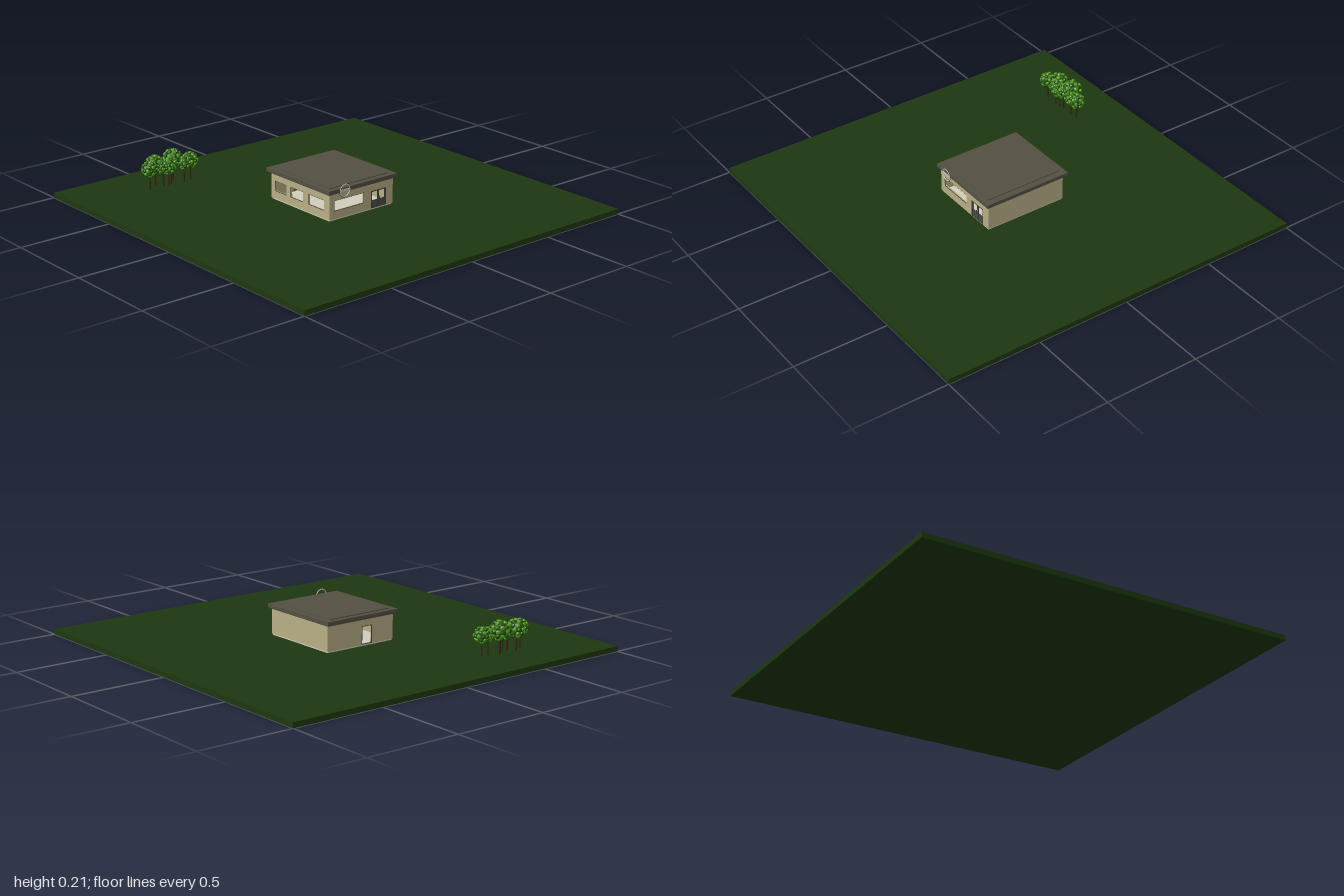
import * as THREE from 'three';
import { mergeGeometries } from 'three/addons/utils/BufferGeometryUtils.js';

const mat = (color, flatShading = false) => new THREE.MeshStandardMaterial({ color, flatShading });
const M = {
  grass: mat(0x1d3810), wall: mat(0xb9af86), roof: mat(0x545043), fascia: mat(0x4a473d),
  floor: mat(0xd2cebf), frame: mat(0x3b3a36), panel: mat(0x4b4d4c), pale: mat(0xc4c0b0),
  bark: mat(0x3a2413), leafDark: mat(0x1f5208, true), leafLight: mat(0x4a9412, true),
};

function add(parent, name, geometry, material, x = 0, y = 0, z = 0) {
  const mesh = new THREE.Mesh(geometry, material);
  mesh.name = name;
  mesh.position.set(x, y, z);
  parent.add(mesh);
  return mesh;
}

// box given by its min and max corners
function block(parent, name, material, x0, x1, y0, y1, z0, z1) {
  return add(parent, name, new THREE.BoxGeometry(x1 - x0, y1 - y0, z1 - z0), material,
    (x0 + x1) / 2, (y0 + y1) / 2, (z0 + z1) / 2);
}

const T = 0.012, BASE = 0.034, TOP = 0.167;

// wall panel with rectangular openings [u0, u1, v0, v1]
function wall(parent, name, u0, u1, openings) {
  const rect = (P, [a, b, c, d]) =>
    new P([[a, c], [b, c], [b, d], [a, d]].map(p => new THREE.Vector2(...p)));
  const shape = rect(THREE.Shape, [u0, u1, BASE, TOP]);
  openings.forEach(o => shape.holes.push(rect(THREE.Path, o)));
  const geometry = new THREE.ExtrudeGeometry(shape, { depth: T, bevelEnabled: false });
  const group = new THREE.Group();
  group.name = name;
  add(group, name + 'Panel', geometry, M.wall);
  parent.add(group);
  return group;
}

// thin frame around an opening, centred on depth z
function frame(parent, name, [a, b, c, d], z, w = 0.003) {
  const h = w * 0.8;
  block(parent, name + 'Bottom', M.frame, a, b, c, c + w, z - h, z + h);
  block(parent, name + 'Top', M.frame, a, b, d - w, d, z - h, z + h);
  block(parent, name + 'Side', M.frame, a, a + w, c, d, z - h, z + h);
  block(parent, name + 'Side', M.frame, b - w, b, c, d, z - h, z + h);
}

function buildHouse() {
  const house = new THREE.Group();
  house.name = 'house';
  block(house, 'floorSlab', M.floor, -0.207, 0.197, 0.025, 0.035, -0.222, 0.222);

  // front wall: long window and double door
  const win = [-0.18, 0.012, 0.073, 0.128], door = [0.058, 0.155, BASE + 0.001, 0.124];
  const front = wall(house, 'frontWall', -0.21, 0.2, [win, door]);
  front.position.z = 0.225 - T;
  frame(front, 'frontWindowFrame', win, T - 0.002, 0.002);
  frame(front, 'frontDoorFrame', door, T - 0.002, 0.004);
  const mid = (door[0] + door[1]) / 2;
  for (const s of [-1, 1]) {
    const a = Math.min(mid + s * 0.001, mid + s * 0.045), b = Math.max(mid + s * 0.001, mid + s * 0.045);
    block(front, 'doorPanel', M.panel, a, b, 0.036, 0.074, T - 0.006, T - 0.002);
    frame(front, 'doorLeaf', [a, b, 0.036, 0.121], T - 0.004, 0.003);
    block(front, 'doorHandle', M.frame, mid + s * 0.007 - 0.0015, mid + s * 0.007 + 0.0015,
      0.072, 0.088, T - 0.002, T + 0.003);
  }

  // back wall: open doorway
  const backDoor = [-0.076, -0.012, BASE + 0.001, 0.128];
  const back = wall(house, 'backWall', -0.21, 0.2, [backDoor]);
  back.position.z = -0.225;
  frame(back, 'backDoorFrame', backDoor, 0.002, 0.003);

  // side walls: three windows on one, the other plain
  const z1 = 0.225 - T;
  const sideWindows = [[-0.195, -0.105], [-0.075, 0.025], [0.065, 0.185]].map(p => [...p, 0.073, 0.128]);
  const right = wall(house, 'rightWall', -z1, z1, sideWindows);
  right.rotation.y = -Math.PI / 2;
  right.position.x = -0.21 + T;
  sideWindows.forEach(o => frame(right, 'sideWindowFrame', o, T - 0.002, 0.002));
  const left = wall(house, 'leftWall', -z1, z1, []);
  left.rotation.y = -Math.PI / 2;
  left.position.x = 0.2;

  // overhanging flat roof
  block(house, 'roofEave', M.fascia, -0.22, 0.21, 0.165, 0.172, -0.24, 0.235);
  block(house, 'roofSlab', M.roof, -0.225, 0.215, 0.17, 0.188, -0.245, 0.24);
  block(house, 'roofCap', M.roof, -0.195, 0.18, 0.187, 0.192, -0.215, 0.21);

  // round sign hung on the roof edge
  const sign = new THREE.Group();
  sign.name = 'roundSign';
  sign.position.set(-0.13, 0.177, 0.247);
  add(sign, 'signRing', new THREE.TorusGeometry(0.031, 0.003, 8, 40), M.pale);
  add(sign, 'signRim', new THREE.TorusGeometry(0.0345, 0.0012, 6, 40), M.frame);
  block(sign, 'signBand', M.pale, -0.03, 0.03, -0.006, 0.006, -0.002, 0.002);
  block(sign, 'signBracket', M.frame, -0.003, 0.003, -0.004, 0.004, -0.008, -0.001);
  house.add(sign);
  return house;
}

// crown of leaf tufts set in rings over a sphere
function crownGeometries(r) {
  const dark = [new THREE.IcosahedronGeometry(r * 0.72, 1)], light = [];
  const rings = 7, up = new THREE.Vector3(0, 1, 0);
  for (let i = 0; i < rings; i++) {
    const phi = (i + 0.15) / (rings - 0.7) * Math.PI;
    const n = Math.max(1, Math.round(11 * Math.sin(phi)));
    for (let j = 0; j < n; j++) {
      const theta = (j + (i % 2) / 2) / n * Math.PI * 2;
      const dir = new THREE.Vector3().setFromSphericalCoords(1, phi, theta);
      const tuft = new THREE.IcosahedronGeometry(r * 0.24, 0);
      tuft.scale(1, 0.7, 1);
      tuft.applyQuaternion(new THREE.Quaternion().setFromUnitVectors(up, dir));
      tuft.translate(...dir.multiplyScalar(r * 0.83).toArray());
      ((i + j) % 2 ? dark : light).push(tuft);
    }
  }
  return [mergeGeometries(dark), mergeGeometries(light)];
}

function buildTrees() {
  const trees = new THREE.Group();
  trees.name = 'trees';
  const [dark, light] = crownGeometries(1);
  // x, z, crown height, crown radius
  const spots = [
    [-0.6, -0.725, 0.135, 0.045], [-0.545, -0.757, 0.143, 0.052], [-0.52, -0.72, 0.13, 0.038],
    [-0.487, -0.722, 0.125, 0.043], [-0.465, -0.73, 0.135, 0.043], [-0.432, -0.76, 0.15, 0.055],
    [-0.39, -0.722, 0.13, 0.04], [-0.347, -0.727, 0.133, 0.046],
  ];
  spots.forEach(([x, z, h, r], i) => {
    const tree = new THREE.Group();
    tree.name = 'tree';
    tree.position.set(x, 0, z);
    add(tree, 'trunk', new THREE.CylinderGeometry(0.003, 0.005, h - 0.02, 7), M.bark, 0, 0.02 + (h - 0.02) / 2, 0);
    const crown = new THREE.Group();
    crown.name = 'crown';
    crown.position.y = h;
    crown.rotation.y = i * 1.3;
    crown.scale.setScalar(r);
    add(crown, 'darkLeaves', dark, M.leafDark);
    add(crown, 'lightLeaves', light, M.leafLight);
    tree.add(crown);
    trees.add(tree);
  });
  return trees;
}

export function createModel() {
  const model = new THREE.Group();
  model.name = 'houseWithTrees';
  block(model, 'ground', M.grass, -1, 1, 0, 0.027, -1, 1);
  model.add(buildHouse(), buildTrees());
  return model;
}
